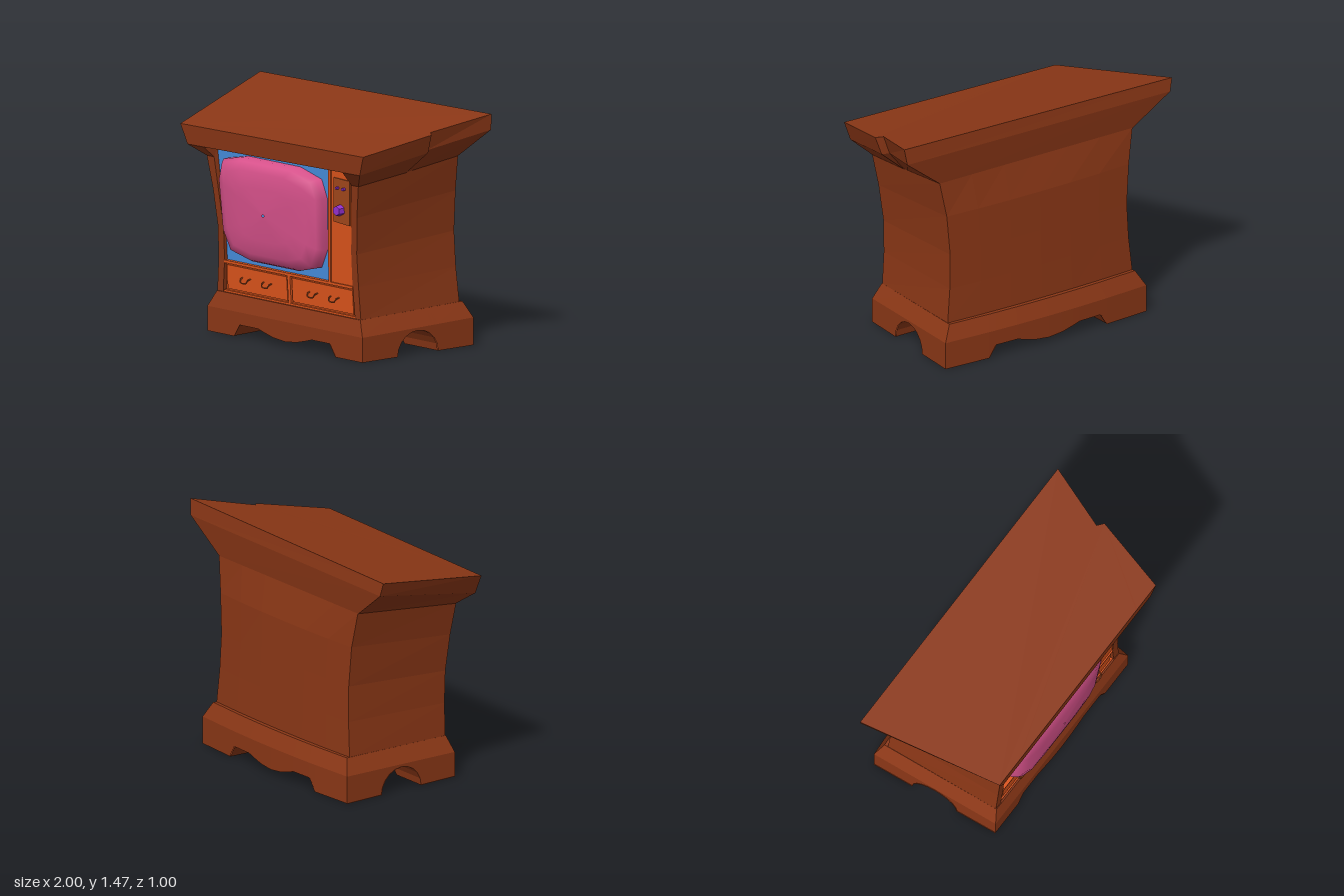
import * as THREE from 'three';

const WOOD = 0x8b3716, ORANGE = 0xde551c, PLATE = 0xa4481c, BLUE = 0x478fe0, PINK = 0xd9528c, PURPLE = 0x9530d0;

const material = (color, flat = true) =>
  new THREE.MeshStandardMaterial({ color, flatShading: flat, side: THREE.DoubleSide });

function addMesh(parent, name, geometry, color, flat = true) {
  const mesh = new THREE.Mesh(geometry, material(color, flat));
  mesh.name = name;
  parent.add(mesh);
  return mesh;
}

// Skin closed rings of [x, y, z], listed bottom to top, with an optional top cap
function loft(rings, cap = true) {
  const n = rings[0].length, index = [];
  for (let j = 0; j < rings.length - 1; j++) {
    for (let i = 0; i < n; i++) {
      const a = j * n + i, b = j * n + (i + 1) % n;
      index.push(a, b, b + n, a, b + n, a + n);
    }
  }
  if (cap) {
    const start = (rings.length - 1) * n;
    const outline = rings.at(-1).map(p => new THREE.Vector2(p[0], -p[2]));
    for (const t of THREE.ShapeUtils.triangulateShape(outline, [])) index.push(...t.map(k => k + start));
  }
  return indexed(rings.flat(), index);
}

function indexed(points, index) {
  const g = new THREE.BufferGeometry();
  g.setAttribute('position', new THREE.Float32BufferAttribute(points.flat(), 3));
  g.setIndex(index);
  g.computeVertexNormals();
  return g;
}

// The front leans forward towards the top
const frontZ = y => 0.343 + 0.066 * (y - 0.25);

// Flat plate with the given corners, set between two depths from the leaning front
function plate(parent, name, corners, back, front, color) {
  const shape = new THREE.Shape(corners.map(c => new THREE.Vector2(...c)));
  const g = new THREE.ExtrudeGeometry(shape, { depth: front - back, bevelEnabled: false });
  const p = g.attributes.position;
  for (let i = 0; i < p.count; i++) p.setZ(i, p.getZ(i) + back + frontZ(p.getY(i)));
  g.computeVertexNormals();
  return addMesh(parent, name, g, color);
}

const rect = (x0, x1, y0, y1) => [[x0, y0], [x1, y0], [x1, y1], [x0, y1]];

// Plinth with a scalloped front-to-back cut and an arched tunnel from side to side
function buildBase(parent) {
  const half = [[0.44, 0], [0.39, 0.075], [0.23, 0.075], [0.18, 0.06], [0.1, 0.04]];
  const cols = [[-1, 0], ...half.map(([x, y]) => [-x, y]), [0, 0.03], ...half.slice().reverse(), [1, 0]];
  const rows = [[0.38, 0]];
  for (let i = 0; i <= 10; i++) {
    const a = Math.PI * i / 10;
    rows.push([-0.045 + 0.155 * Math.cos(a), 0.145 * Math.sin(a)]);
  }
  rows.push([-0.47, 0]);
  const grid = rows.map(([z, arch], r) => cols.map(([cx, scallop]) => {
    const w = 0.67 + 0.08 * (0.38 - z) / 0.85;
    const x = Math.abs(cx) === 1 ? cx * w : cx;
    const bow = r === rows.length - 1 ? 0.03 * (1 - (x / w) ** 2) : 0;
    return [x, Math.max(scallop, arch), z - bow];
  }));
  const nc = cols.length, nr = rows.length, index = [];
  for (let r = 0; r < nr - 1; r++) {
    for (let c = 0; c < nc - 1; c++) {
      const a = r * nc + c;
      index.push(a, a + nc, a + nc + 1, a, a + nc + 1, a + 1);
    }
  }
  addMesh(parent, 'baseUnderside', indexed(grid.flat(), index), WOOD);

  const rim = [
    ...grid[0],
    ...grid.slice(1, -1).map(r => r[nc - 1]),
    ...grid[nr - 1].slice().reverse(),
    ...grid.slice(1, -1).reverse().map(r => r[0]),
  ];
  const wall = rim.map(([x, , z]) => [x, 0.16 - 0.02 * z, z]);
  const top = rim.map(([x, , z]) => [x * 0.925, 0.257 - 0.02 * z, z * 0.92]);
  addMesh(parent, 'base', loft([rim, wall, top]), WOOD).position.x = 0.005;
}

// Waisted cabinet whose front is recessed between two posts
function buildBody(parent) {
  // front y, back y, front half-width, post inner edge, back half-width, front z, back z
  const levels = [
    [0.25, 0.262, 0.62, 0.57, 0.69, 0.345, -0.41],
    [0.45, 0.48, 0.605, 0.553, 0.668, 0.35, -0.402],
    [0.65, 0.7, 0.6, 0.552, 0.66, 0.36, -0.395],
    [0.88, 0.95, 0.622, 0.575, 0.68, 0.38, -0.388],
    [1.08, 1.17, 0.655, 0.592, 0.72, 0.4, -0.37],
  ];
  const rings = levels.map(([yf, yb, wf, wi, wb, zf, zb], i) => {
    const yi = i === 4 ? 1.17 : yf, zi = frontZ(yi) - 0.05, bow = i === 4 ? 0 : 0.022;
    const ring = [[-wf, yf, zf], [-wi, yf, zf], [-wi, yi, zi], [wi, yi, zi], [wi, yf, zf], [wf, yf, zf]];
    for (let k = 0; k <= 6; k++) {
      const u = 1 - k / 3;
      ring.push([u * wb, yb, zb - bow * (1 - u * u)]);
    }
    return ring;
  });
  addMesh(parent, 'cabinet', loft(rings), WOOD).position.x = 0.005;
}

// Sloping overhanging top with a notch in its left edge
function buildTop(parent) {
  const under = [
    [-0.65, 1.08, 0.4], [-0.587, 1.08, 0.4], [-0.587, 1.15, 0.34], [0.6, 1.17, 0.34], [0.6, 1.08, 0.4],
    [0.66, 1.08, 0.4], [0.695, 1.12, 0.03], [0.695, 1.125, 0], [0.725, 1.17, -0.37], [-0.72, 1.17, -0.37],
  ];
  const lower = [
    [-0.73, 1.15, 0.485], [-0.6, 1.152, 0.485], [-0.59, 1.152, 0.485], [0.6, 1.172, 0.485], [0.61, 1.172, 0.485],
    [0.76, 1.175, 0.485], [0.87, 1.265, 0.02], [0.83, 1.27, -0.005], [0.985, 1.365, -0.395], [-0.98, 1.35, -0.395],
  ];
  const upper = [
    [-0.78, 1.27, 0.495], [-0.6, 1.273, 0.495], [-0.59, 1.273, 0.495], [0.6, 1.292, 0.495], [0.61, 1.292, 0.495],
    [0.8, 1.295, 0.495], [0.91, 1.381, 0.03], [0.87, 1.387, 0], [1, 1.465, -0.385], [-1, 1.432, -0.385],
  ];
  addMesh(parent, 'top', loft([under, lower, upper]), WOOD);
}

// Bulging picture tube: one outline shrunk ring by ring towards the front
function buildTube(parent) {
  const outline = [
    [-0.28, 0.48], [0.12, 0.48], [0.275, 0.52], [0.335, 0.64], [0.35, 0.96], [0.31, 1.07],
    [0.13, 1.12], [-0.32, 1.12], [-0.49, 1.085], [-0.525, 0.97], [-0.51, 0.645], [-0.45, 0.52],
  ];
  const steps = [[1, -0.04], [1, 0.015], [0.95, 0.05], [0.8, 0.075], [0.5, 0.087], [0.02, 0.092]];
  const rings = steps.map(([s, d]) => outline.map(([px, py]) => {
    const x = -0.09 + (px + 0.09) * s, y = 0.8 + (py - 0.8) * s;
    return [x, y, frontZ(y) + d];
  }));
  addMesh(parent, 'pictureTube', loft(rings, false), PINK, false);
}

function buildControls(parent) {
  plate(parent, 'controlColumn', [[0.36, 0.44], [0.56, 0.44], [0.598, 1.172], [0.405, 1.152]], -0.06, -0.012, ORANGE);
  plate(parent, 'columnTrim', [[0.35, 0.44], [0.37, 0.44], [0.42, 1.15], [0.398, 1.15]], -0.06, -0.004, ORANGE);
  plate(parent, 'controlPlate', [[0.42, 0.83], [0.56, 0.82], [0.58, 1.1], [0.44, 1.105]], -0.012, -0.004, PLATE);
  const knobs = [[0.49, 0.91, 0.035, 0.04], [0.475, 1.045, 0.01, 0.02], [0.53, 1.045, 0.01, 0.02]];
  for (const [x, y, r, depth] of knobs) {
    const knob = addMesh(parent, 'knob', new THREE.CylinderGeometry(r * 0.85, r, depth, 6), PURPLE);
    knob.rotation.x = Math.PI / 2;
    knob.position.set(x, y, frontZ(y) - 0.005 + depth / 2);
  }
}

function buildDrawers(parent) {
  plate(parent, 'drawerFrame', rect(-0.555, 0.572, 0.25, 0.445), -0.06, -0.022, ORANGE);
  plate(parent, 'drawerShelf', rect(-0.55, 0.562, 0.43, 0.447), -0.03, -0.003, ORANGE);
  plate(parent, 'drawerSill', rect(-0.562, 0.572, 0.25, 0.262), -0.03, -0.003, ORANGE);
  plate(parent, 'drawerDivider', rect(-0.008, 0.016, 0.26, 0.432), -0.03, -0.005, ORANGE);
  for (const [x0, x1] of [[-0.535, -0.018], [0.026, 0.552]]) {
    plate(parent, 'drawerFront', rect(x0, x1, 0.272, 0.42), -0.025, -0.01, ORANGE);
  }
  // Bent pulls
  for (const x of [-0.37, -0.185, 0.21, 0.395]) {
    const points = [[-0.035, 0.012, -0.012], [-0.03, 0.004, 0.012], [-0.024, -0.012, 0.018],
      [0.024, -0.012, 0.018], [0.03, 0.004, 0.012], [0.035, 0.012, -0.012]];
    const path = new THREE.CatmullRomCurve3(points.map(p => new THREE.Vector3(...p)));
    addMesh(parent, 'drawerPull', new THREE.TubeGeometry(path, 12, 0.0045, 5), PLATE)
      .position.set(x, 0.345, frontZ(0.345));
  }
}

export function createModel() {
  const model = new THREE.Group();
  model.name = 'televisionCabinet';
  buildBase(model);
  buildBody(model);
  buildTop(model);
  plate(model, 'screenSurround', [[-0.55, 0.44], [0.36, 0.44], [0.405, 1.152], [-0.588, 1.147]], -0.06, -0.03, BLUE);
  buildTube(model);
  buildControls(model);
  buildDrawers(model);
  return model;
}
